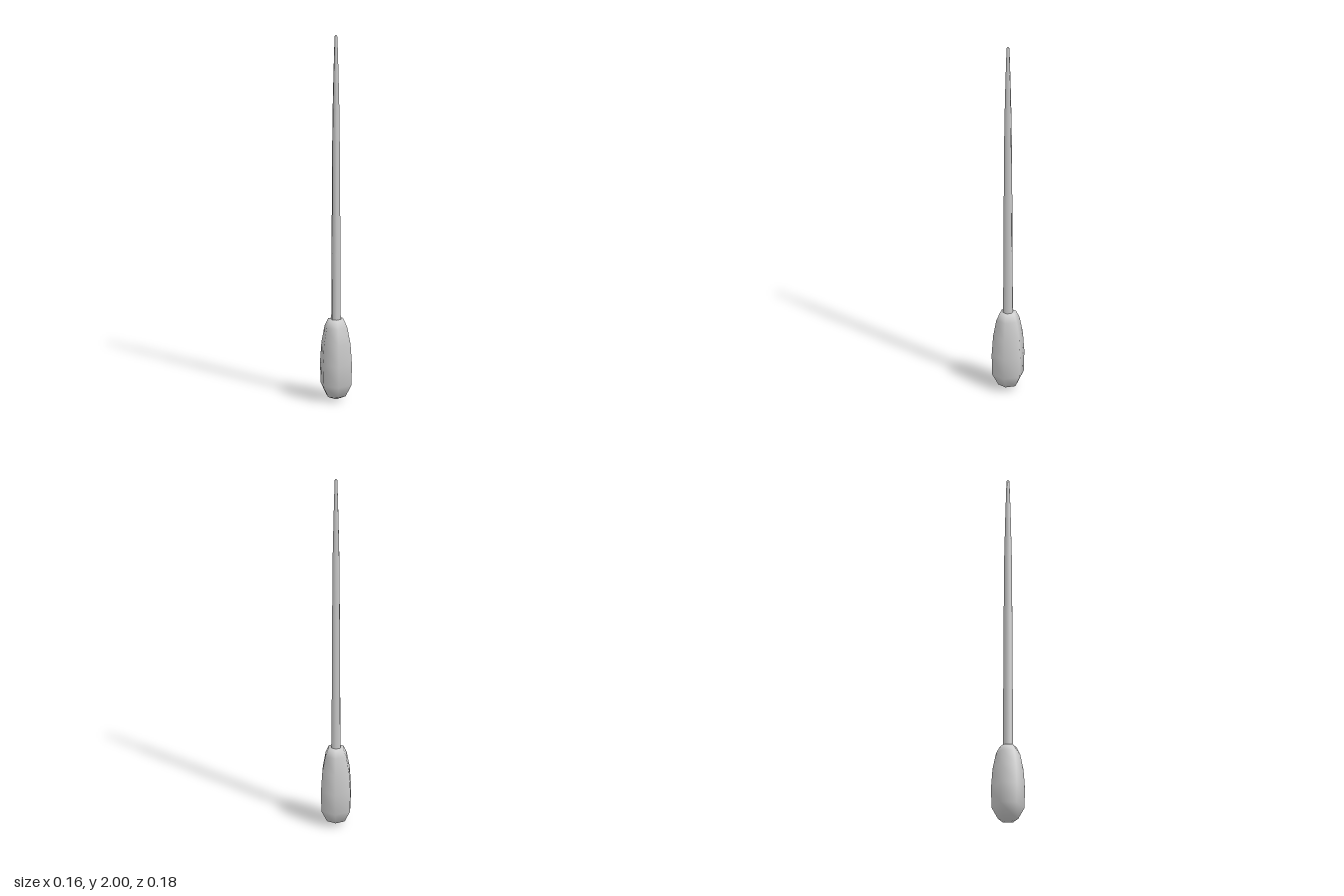
import * as THREE from 'three';

const SIDES = 6;

// Smooth-shaded hexagonal turning with corners on the z axis
function turned(name, profile) {
  const points = profile.map(([r, y]) => new THREE.Vector2(r, y));
  const mesh = new THREE.Mesh(
    new THREE.LatheGeometry(points, SIDES),
    new THREE.MeshStandardMaterial({ color: 0xcccccc })
  );
  mesh.name = name;
  return mesh;
}

export function createModel() {
  const group = new THREE.Group();
  group.name = 'baton';

  // Bulb-shaped grip, closed at both ends
  group.add(turned('handle', [
    [0, 0], [0.054, 0.022], [0.087, 0.085], [0.09, 0.2],
    [0.082, 0.31], [0.064, 0.4], [0.045, 0.44], [0, 0.442],
  ]));

  // Slender shaft tapering to a small blunt tip
  group.add(turned('shaft', [
    [0.027, 0.42], [0.025, 0.8], [0.023, 1.2], [0.02, 1.55],
    [0.014, 1.8], [0.008, 1.99], [0, 2],
  ]));

  return group;
}
